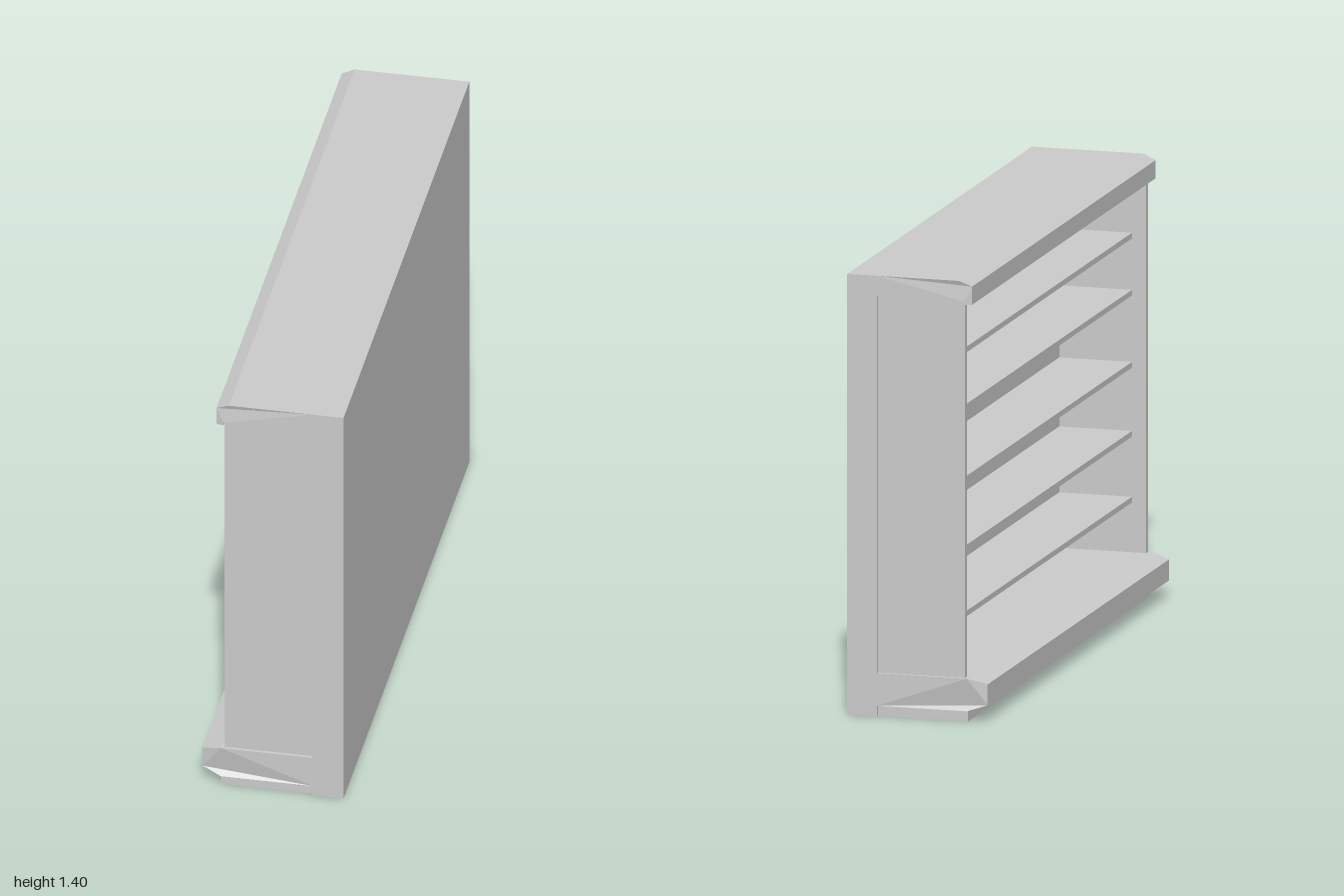
import * as THREE from 'three';

const material = new THREE.MeshStandardMaterial({ color: 0xcccccc, flatShading: true });

export function createModel() {
  const model = new THREE.Group();
  model.name = 'shelfUnit';

  const add = (name, geometry) => {
    const mesh = new THREE.Mesh(geometry, material);
    mesh.name = name;
    model.add(mesh);
    return mesh;
  };

  // Box given by its limits on each axis
  const box = (name, x0, x1, y0, y1, z0, z1) =>
    add(name, new THREE.BoxGeometry(x1 - x0, y1 - y0, z1 - z0))
      .position.set((x0 + x1) / 2, (y0 + y1) / 2, (z0 + z1) / 2);

  // Moulding: an x-y profile run along z, its ends drawn in where it juts past limitX
  const moulding = (name, profile, limitX, inset) => {
    const shape = new THREE.Shape(profile.map(([x, y]) => new THREE.Vector2(x, y)));
    const geometry = new THREE.ExtrudeGeometry(shape, { depth: 2, bevelEnabled: false });
    geometry.translate(0, 0, -1);
    const p = geometry.attributes.position;
    for (let i = 0; i < p.count; i++) {
      if (p.getX(i) < limitX) p.setZ(i, Math.sign(p.getZ(i)) * (1 - inset));
    }
    geometry.computeVertexNormals();
    add(name, geometry);
  };

  // Back slab and the recessed plinth
  box('backPanel', 0.127, 0.225, 0, 1.405, -1, 1);
  box('plinth', -0.166, 0.127, 0, 0.036, -0.99, 0.99);

  // Cornice with a small drip lip, and the projecting base moulding
  moulding('cornice', [
    [0.127, 1.34], [0.127, 1.405], [-0.14, 1.405], [-0.18, 1.388],
    [-0.18, 1.33], [-0.157, 1.33], [-0.157, 1.34],
  ], -0.17, 0.006);
  moulding('baseMoulding', [
    [0.127, 0.034], [0.127, 0.138], [-0.165, 0.138], [-0.227, 0.12],
    [-0.227, 0.053], [-0.165, 0.034],
  ], -0.2, 0.02);

  // Side panels, set in slightly from the frame
  for (const side of [-1, 1]) {
    const z = [side * 0.99, side * 0.97].sort((a, b) => a - b);
    box(side > 0 ? 'frontSidePanel' : 'rearSidePanel', -0.156, 0.127, 0.138, 1.34, z[0], z[1]);
  }

  // Shelves, recessed from the opening
  [0.315, 0.525, 0.745, 0.975, 1.157].forEach((top, i) =>
    box(`shelf${i + 1}`, -0.11, 0.127, top - 0.018, top, -0.97, 0.97));

  return model;
}
